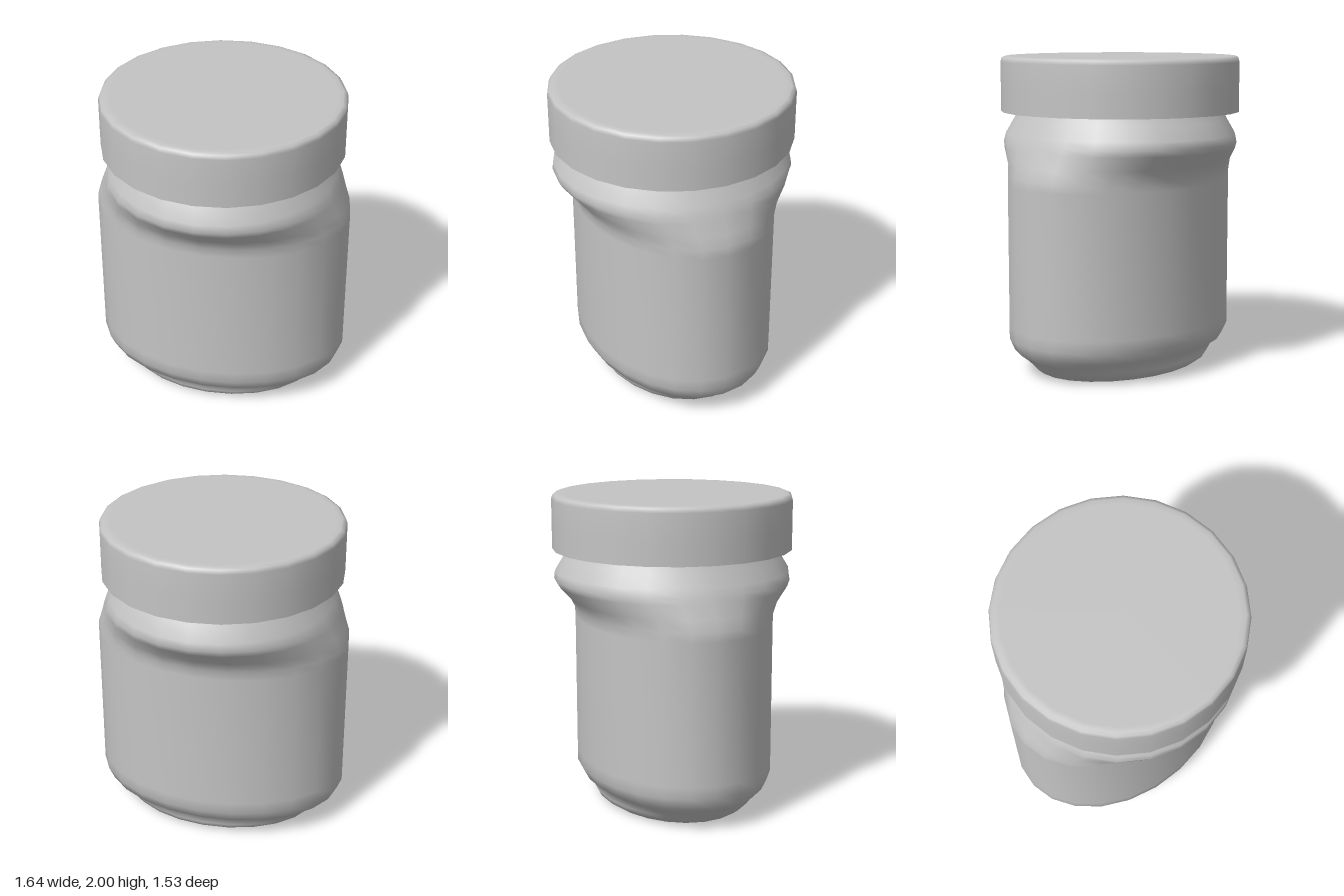
import * as THREE from 'three';
import { mergeVertices } from 'three/addons/utils/BufferGeometryUtils.js';

const SIDES = 24;

// Smooth loft through elliptical sections given as [y, half width x, half depth z]
function ellipseLoft(sections) {
  const profile = sections.map(([y]) => new THREE.Vector2(1, y));
  const lathe = new THREE.LatheGeometry(profile, SIDES);
  const pos = lathe.attributes.position;
  for (let i = 0; i < pos.count; i++) {
    const [, rx, rz] = sections[i % sections.length];
    pos.setX(i, pos.getX(i) * rx);
    pos.setZ(i, pos.getZ(i) * rz);
  }
  lathe.deleteAttribute('uv');
  lathe.deleteAttribute('normal');
  const geometry = mergeVertices(lathe, 1e-4);
  geometry.computeVertexNormals();
  return geometry;
}

export function createModel() {
  const group = new THREE.Group();
  const grey = new THREE.MeshStandardMaterial({ color: 0xc4c4c4 });
  grey.name = 'plain grey';

  const add = (name, geometry) => {
    const mesh = new THREE.Mesh(geometry, grey);
    mesh.name = name;
    group.add(mesh);
  };

  // Oval jar: stepped foot, pinched front and back, round shoulder and neck
  add('jarBody', ellipseLoft([
    [0, 0, 0],
    [0, 0.56, 0.4],
    [0.003, 0.61, 0.45],
    [0.03, 0.645, 0.49],
    [0.065, 0.68, 0.508],
    [0.11, 0.735, 0.505],
    [0.15, 0.787, 0.57],
    [0.225, 0.818, 0.61],
    [0.3, 0.818, 0.61],
    [1.2, 0.818, 0.61],
    [1.26, 0.816, 0.613],
    [1.33, 0.79, 0.65],
    [1.42, 0.757, 0.735],
    [1.46, 0.742, 0.757],
    [1.51, 0.722, 0.752],
    [1.6, 0.673, 0.697],
    [1.66, 0.645, 0.665],
  ]));

  // Round lid with softened top rim
  const lid = [[0.765, 1.65], [0.765, 1.8], [0.765, 1.965], [0.757, 1.99], [0.735, 2], [0.7, 2], [0, 2]];
  add('lid', new THREE.LatheGeometry(lid.map(([r, y]) => new THREE.Vector2(r, y)), SIDES));

  // Flat underside of the lid
  const underside = [[0, 1.65], [0.765, 1.65]];
  add('lidUnderside', new THREE.LatheGeometry(underside.map(([r, y]) => new THREE.Vector2(r, y)), SIDES));

  return group;
}
